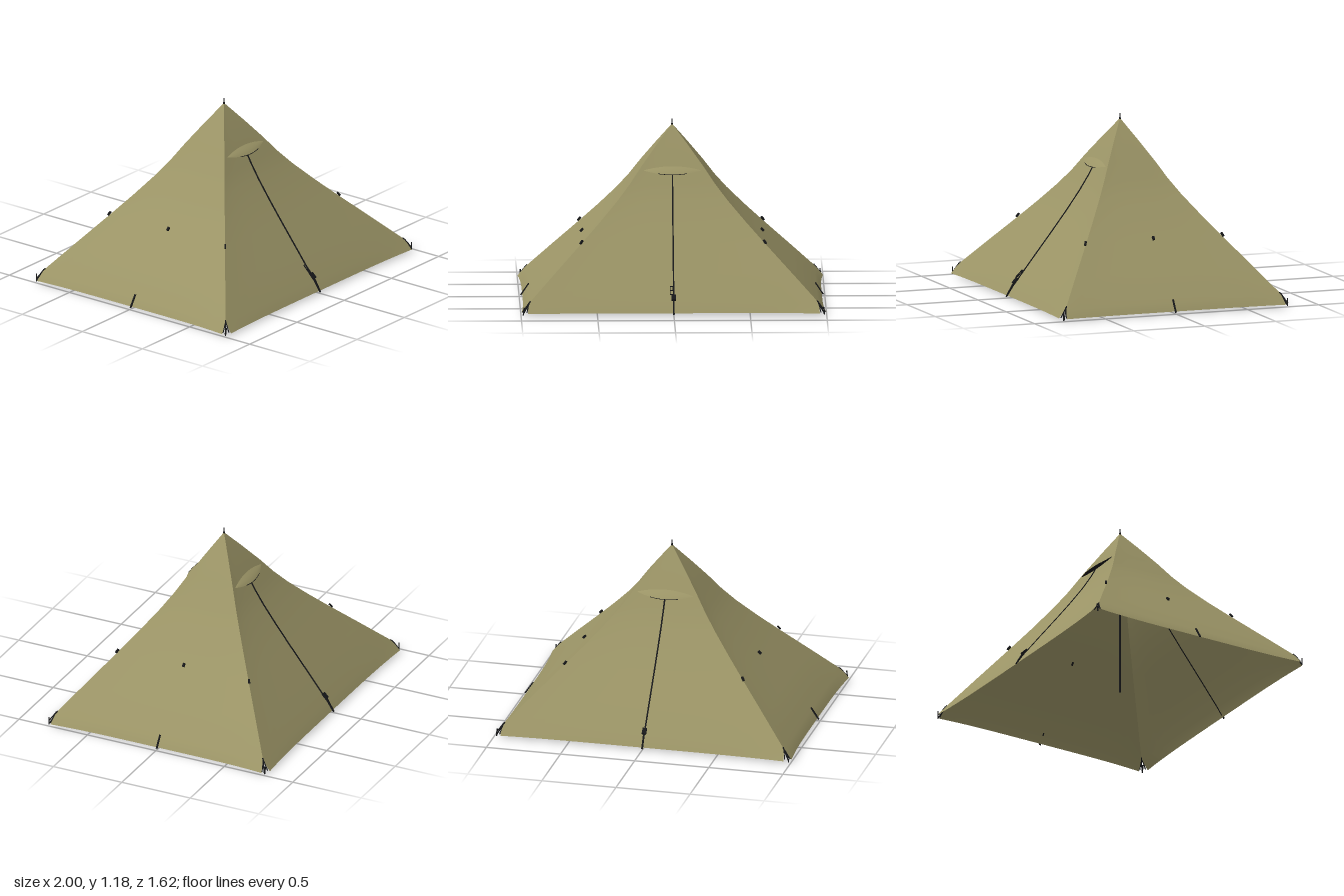
import * as THREE from 'three';

const canvas = new THREE.MeshStandardMaterial({ color: 0x9b9466, side: THREE.DoubleSide });
canvas.name = 'khaki canvas';
const black = new THREE.MeshStandardMaterial({ color: 0x17181a, side: THREE.DoubleSide });
black.name = 'black hardware';

// Ridge profile: [distance along x, height]; z is 0.8 of x
const ridge = [[0, 1.145], [0.1, 1.02], [0.2, 0.89], [0.28, 0.778], [0.36, 0.68],
  [0.48, 0.55], [0.6, 0.427], [0.78, 0.247], [0.95, 0.075]];
const RATIO = 0.8;

// Distance out along x of the ridge at height y
function ridgeAt(y) {
  for (let i = 1; i < ridge.length; i++) {
    const [x0, y0] = ridge[i - 1], [x1, y1] = ridge[i];
    if (y >= y1) return x0 + (x1 - x0) * (y0 - y) / (y0 - y1);
  }
  return 0.95;
}

// Smooth surface through a grid of points, seen from the side where u runs right and rows run down
function surface(rows, cols, at) {
  const pos = [], index = [];
  for (let r = 0; r <= rows; r++)
    for (let c = 0; c <= cols; c++) pos.push(...at(r, c / cols * 2 - 1));
  for (let r = 0; r < rows; r++)
    for (let c = 0; c < cols; c++) {
      const a = r * (cols + 1) + c, d = a + cols + 1;
      index.push(a, d, a + 1, a + 1, d, d + 1);
    }
  const g = new THREE.BufferGeometry();
  g.setAttribute('position', new THREE.Float32BufferAttribute(pos, 3));
  g.setIndex(index);
  g.computeVertexNormals();
  return g;
}

// One wall: rows of [half width, height, depth, inward sag], ending in the flared skirt
function wallGeometry(w, d, skirt) {
  const rows = ridge.map(([x, y]) => [x * w, y, x * d, 0.008 * x]);
  rows.push(skirt);
  return surface(rows.length - 1, 16, (r, u) => {
    const [h, y, z, sag] = rows[r];
    return [u * h, y, z - sag * (1 - u ** 4)];
  });
}

function add(parent, name, geometry, material) {
  const m = new THREE.Mesh(geometry, material);
  m.name = name;
  parent.add(m);
  return m;
}

// Flat bar from a to b
function bar(parent, name, a, b, width, thick) {
  const p = new THREE.Vector3(...a), q = new THREE.Vector3(...b);
  const m = add(parent, name, new THREE.BoxGeometry(width, thick, p.distanceTo(q)), black);
  m.position.copy(p).lerp(q, 0.5);
  m.lookAt(q);
  return m;
}

// Door wall with vent, zip and buckle, facing +z
function doorSide(name, hasPull) {
  const g = new THREE.Group();
  g.name = name;
  add(g, 'doorWall', wallGeometry(1, RATIO, [0.955, 0.015, 0.81, 0.018]), canvas);
  const depth = y => ridgeAt(y) * RATIO;

  // Eyebrow vent: hood, dark mesh underneath and trimmed brim
  const brim = u => {
    const k = 1 - u * u, y = 0.862 - 0.022 * k;
    return [u * 0.19, y, depth(y) + 0.002 + 0.03 * k];
  };
  add(g, 'ventHood', surface(4, 20, (r, u) => {
    const k = 1 - u * u, y = 0.862 + 0.025 * k, t = r / 4, b = brim(u);
    const z = depth(y) + 0.001;
    return [b[0], y + (b[1] - y) * t, z + (b[2] - z) * t + 0.006 * k * Math.sin(Math.PI * t)];
  }), canvas);
  add(g, 'ventMesh', surface(1, 20, (r, u) => {
    const b = brim(u);
    return r ? [b[0], b[1], depth(b[1])] : b;
  }), black);
  const edge = [];
  for (let i = -8; i <= 8; i++) edge.push(new THREE.Vector3(...brim(i / 16)));
  add(g, 'ventTrim', new THREE.TubeGeometry(new THREE.CatmullRomCurve3(edge), 24, 0.002, 5), black);

  // Zip follows the wall profile down to the hem
  const ys = [0.835, 0.778, 0.68, 0.55, 0.427, 0.247, 0.075];
  const line = ys.map(y => [0, y, depth(y) - 0.008 * ridgeAt(y) + 0.002]);
  line.push([0, 0.015, 0.796]);
  for (let i = 1; i < line.length; i++) bar(g, 'zip', line[i - 1], line[i], 0.009, 0.006);

  // Buckle and hem strap
  bar(g, 'buckle', [0, 0.125, 0.724], [0, 0.095, 0.754], 0.028, 0.014);
  bar(g, 'hemStrap', [0, 0.095, 0.75], [0, 0.008, 0.802], 0.011, 0.007);
  if (hasPull) {
    for (const x of [-0.022, -0.004])
      bar(g, 'zipPull', [x, 0.175, 0.682], [x, 0.13, 0.727], 0.004, 0.005);
    for (const y of [0.175, 0.152, 0.13])
      bar(g, 'zipPull', [-0.024, y, 0.857 - y], [-0.002, y, 0.857 - y], 0.005, 0.005);
  }
  return g;
}

// Plain side wall, built facing +z and turned sideways
function plainSide(name) {
  const g = new THREE.Group();
  g.name = name;
  add(g, 'sideWall', wallGeometry(RATIO, 1, [0.77, 0.015, 1.0, 0.02]), canvas);
  bar(g, 'hemStrap', [0, 0.088, 0.938], [0, 0.01, 0.99], 0.01, 0.008);
  bar(g, 'guyLoop', [0, 0.45, 0.582], [0, 0.432, 0.6], 0.014, 0.014);
  return g;
}

export function createModel() {
  const tent = new THREE.Group();
  tent.name = 'pyramidTent';

  const front = doorSide('frontSide', true);
  const back = doorSide('backSide', false);
  back.rotation.y = Math.PI;
  const left = plainSide('leftSide');
  left.rotation.y = Math.PI / 2;
  const right = plainSide('rightSide');
  right.rotation.y = -Math.PI / 2;
  tent.add(front, back, left, right);

  // Centre pole with its tip above the peak
  add(tent, 'centrePole', new THREE.CylinderGeometry(0.005, 0.005, 1.15, 10), black).position.y = 0.575;
  add(tent, 'poleTip', new THREE.CylinderGeometry(0.003, 0.006, 0.04, 10), black).position.y = 1.157;

  // Ridge loops and corner straps
  for (const sx of [-1, 1])
    for (const sz of [-1, 1]) {
      const c = new THREE.Group();
      c.name = 'cornerFittings';
      const at = (x, y, z) => [sx * x, y, sz * z];
      bar(c, 'ridgeLoop', at(0.592, 0.448, 0.476), at(0.608, 0.426, 0.488), 0.012, 0.012);
      bar(c, 'cornerStrap', at(0.938, 0.09, 0.75), at(0.985, 0.012, 0.785), 0.007, 0.006);
      bar(c, 'cornerStrap', at(0.945, 0.083, 0.757), at(0.992, 0.02, 0.772), 0.005, 0.005);
      bar(c, 'cornerStrap', at(0.945, 0.083, 0.757), at(0.962, 0.02, 0.798), 0.005, 0.005);
      bar(c, 'stake', at(0.98, 0.055, 0.79), at(0.985, 0.003, 0.787), 0.006, 0.006);
      tent.add(c);
    }
  return tent;
}
